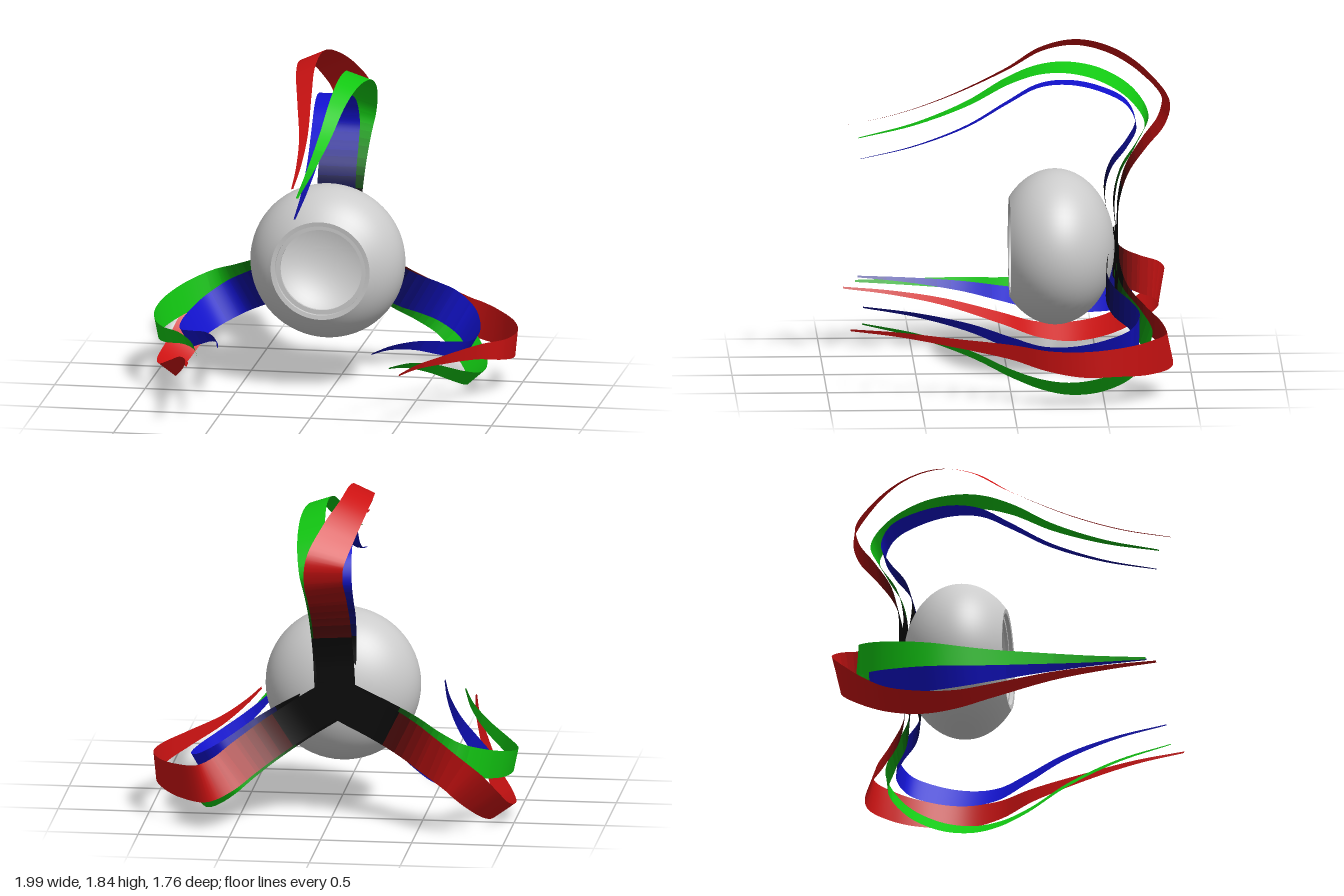
import * as THREE from 'three';
import { toCreasedNormals } from 'three/addons/utils/BufferGeometryUtils.js';

const CENTER = new THREE.Vector3(-0.035, 0.70, 0); // axis of the threefold symmetry

// Each row: sideways offset, distance from axis, z, width, roll about the path
const STRANDS = {
  red: { color: 0xcc1212, rows: [
    [0, -0.04, -0.60, 0.21, 0], [0, 0.10, -0.60, 0.21, 0], [0.01, 0.26, -0.605, 0.21, 0],
    [0.02, 0.43, -0.65, 0.21, 0.05], [0.03, 0.58, -0.745, 0.21, 0.1], [0.04, 0.71, -0.84, 0.21, 0.15],
    [0.03, 0.82, -0.86, 0.21, 0.2], [-0.03, 0.96, -0.745, 0.19, 0.3], [-0.09, 1.065, -0.575, 0.16, 0.4],
    [-0.115, 1.11, -0.38, 0.145, 0.42], [-0.112, 1.075, -0.19, 0.115, 0.4], [-0.085, 0.97, 0, 0.085, 0.35],
    [-0.035, 0.83, 0.32, 0.05, 0.3], [-0.012, 0.735, 0.61, 0.028, 0.25], [0, 0.68, 0.875, 0.012, 0.2]] },
  green: { color: 0x12c812, rows: [
    [0.01, -0.04, -0.595, 0.21, 0], [0.015, 0.10, -0.59, 0.21, 0], [0.025, 0.26, -0.58, 0.21, 0],
    [0.04, 0.43, -0.615, 0.21, -0.05], [0.06, 0.58, -0.70, 0.20, -0.1], [0.09, 0.72, -0.755, 0.185, -0.15],
    [0.125, 0.87, -0.67, 0.165, -0.25], [0.14, 0.98, -0.50, 0.15, -0.3], [0.136, 1.02, -0.32, 0.13, -0.32],
    [0.118, 1.005, -0.165, 0.11, -0.32], [0.095, 0.94, 0, 0.088, -0.3], [0.066, 0.81, 0.22, 0.065, -0.25],
    [0.035, 0.69, 0.51, 0.038, -0.2], [0.015, 0.612, 0.81, 0.012, -0.2]] },
  blue: { color: 0x1212d0, rows: [
    [0, -0.04, -0.585, 0.21, 0], [0, 0.14, -0.55, 0.21, 0], [0, 0.33, -0.53, 0.21, 0],
    [0, 0.455, -0.565, 0.21, 0], [0, 0.57, -0.65, 0.205, 0], [0, 0.675, -0.70, 0.20, 0],
    [0, 0.795, -0.65, 0.185, 0], [0, 0.875, -0.50, 0.165, 0], [0, 0.91, -0.32, 0.14, 0],
    [0, 0.89, -0.165, 0.115, 0], [0, 0.80, 0, 0.09, 0], [0, 0.67, 0.22, 0.06, 0],
    [0, 0.56, 0.51, 0.03, 0], [0, 0.492, 0.80, 0.01, 0]] },
};

// Hollow flattened ball with a stepped round opening at the front
function makeBall() {
  const profile = [];
  const arc = (r, d, from, to, n) => {
    for (let i = 0; i <= n; i++) {
      const a = from + (to - from) * i / n;
      profile.push(new THREE.Vector2(Math.max(0, r * Math.cos(a)), d * Math.sin(a)));
    }
  };
  arc(0.425, 0.324, -Math.PI / 2, 0.871, 32);
  profile.push(new THREE.Vector2(0.25, 0.245), new THREE.Vector2(0.25, 0.225), new THREE.Vector2(0.225, 0.225));
  arc(0.375, 0.26, 0.927, -Math.PI / 2, 28);
  const geometry = toCreasedNormals(new THREE.LatheGeometry(profile, 64).rotateX(Math.PI / 2), 0.5);
  const ball = new THREE.Mesh(geometry, new THREE.MeshStandardMaterial({ color: 0xcccccc, side: THREE.DoubleSide }));
  ball.name = 'ball';
  ball.position.set(CENTER.x, CENTER.y, -0.26);
  return ball;
}

// Tapered, rolled ribbon, cut into bands that fade from a black root to full colour
function makeStrand(name, { color, rows }) {
  const strand = new THREE.Group();
  strand.name = name + 'Strand';
  const path = new THREE.CatmullRomCurve3(rows.map(p => new THREE.Vector3(p[0], p[1], p[2])));
  const form = new THREE.CatmullRomCurve3(rows.map((p, i) => new THREE.Vector3(p[3], p[4], i)));
  const steps = 96, positions = [], bands = new Map();
  for (let i = 0; i <= steps; i++) {
    const t = i / steps, p = path.getPoint(t), f = form.getPoint(t);
    const tangent = path.getTangent(t);
    const side = new THREE.Vector3(1, 0, 0).addScaledVector(tangent, -tangent.x).normalize()
      .applyAxisAngle(tangent, f.y).multiplyScalar(f.x / 2);
    positions.push(...p.clone().sub(side).toArray(), ...p.clone().add(side).toArray());
    if (i === steps) break;
    const shade = Math.round(THREE.MathUtils.smoothstep(p.y, 0.25, 0.85) * 10);
    if (!bands.has(shade)) bands.set(shade, []);
    const a = 2 * i;
    bands.get(shade).push(a, a + 1, a + 2, a + 1, a + 3, a + 2);
  }
  const whole = new THREE.BufferGeometry();
  whole.setAttribute('position', new THREE.Float32BufferAttribute(positions, 3));
  whole.setIndex([...bands.values()].flat());
  whole.computeVertexNormals();
  for (const [shade, index] of bands) {
    const geometry = new THREE.BufferGeometry();
    geometry.setAttribute('position', whole.attributes.position);
    geometry.setAttribute('normal', whole.attributes.normal);
    geometry.setIndex(index);
    const tint = new THREE.Color(0x080808).lerp(new THREE.Color(color), shade / 10);
    const band = new THREE.Mesh(geometry, new THREE.MeshStandardMaterial({ color: tint, side: THREE.DoubleSide }));
    band.name = name + 'Band' + shade;
    strand.add(band);
  }
  return strand;
}

export function createModel() {
  const model = new THREE.Group();
  model.name = 'ballWithTentacles';
  model.add(makeBall());
  // Three identical tentacles around the front-to-back axis
  const tentacle = new THREE.Group();
  for (const [name, spec] of Object.entries(STRANDS)) tentacle.add(makeStrand(name, spec));
  ['top', 'lowerRight', 'lowerLeft'].forEach((place, i) => {
    const copy = tentacle.clone();
    copy.name = place + 'Tentacle';
    copy.position.copy(CENTER);
    copy.rotation.z = i * Math.PI * 2 / 3;
    model.add(copy);
  });
  return model;
}
